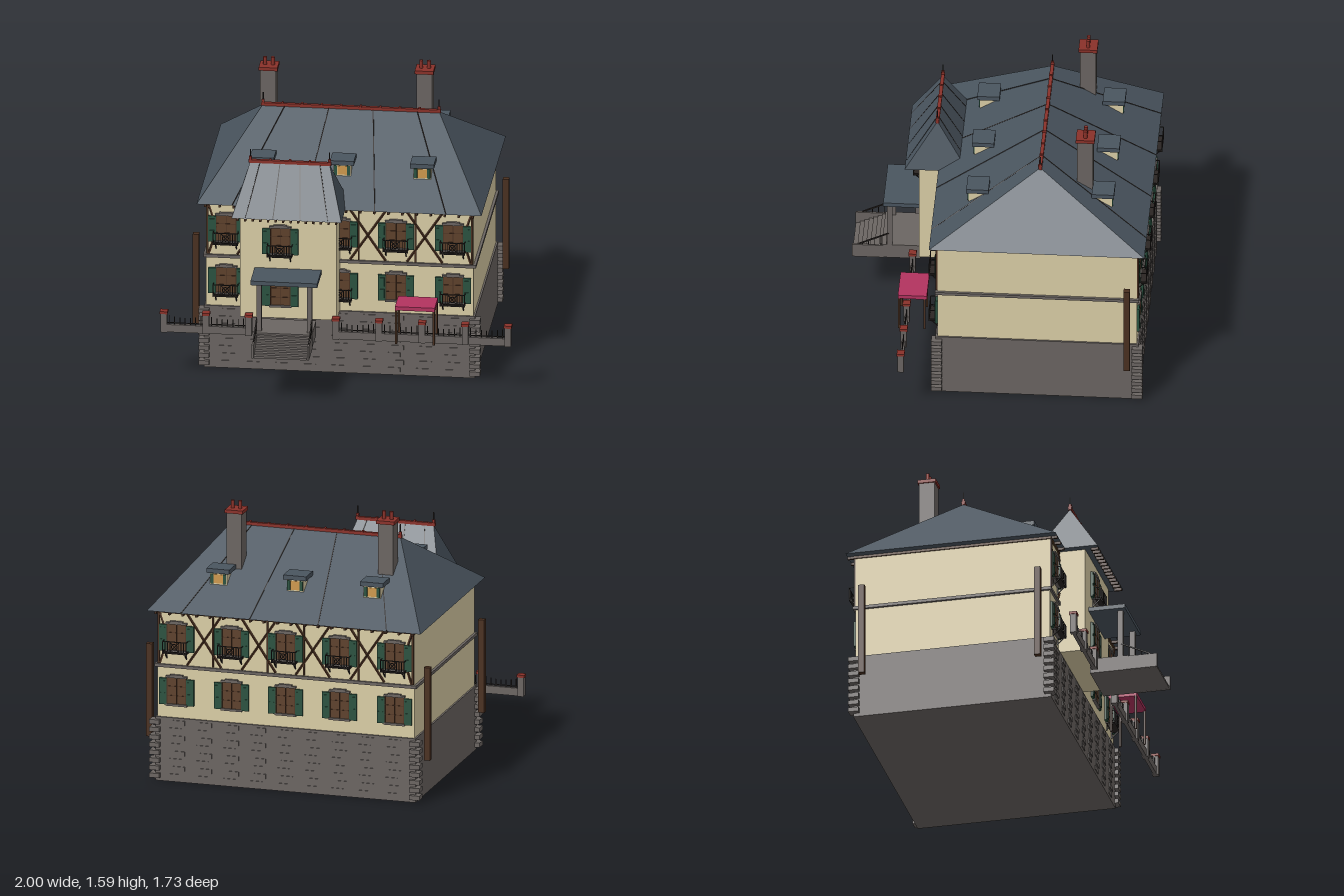
import * as THREE from 'three';

const palette = {
  slate: 0x4a555f, cream: 0xdbcea6, stone: 0x6b6562, timber: 0x4a3020, red: 0x8a3129,
  green: 0x2a5240, magenta: 0xb2335f, iron: 0x2a2523, amber: 0xd09a4e, windowWood: 0x5e412b,
};

export function createModel() {
  const model = new THREE.Group();
  model.name = 'house';
  const mats = {};
  for (const [name, color] of Object.entries(palette)) {
    mats[name] = new THREE.MeshStandardMaterial({ color });
    mats[name].name = name;
  }

  // ---- helpers ----
  const add = (parent, name, geo, mat) => {
    const m = new THREE.Mesh(geo, mats[mat]);
    m.name = name;
    parent.add(m);
    return m;
  };
  const group = (name, parent = model, x = 0, y = 0, z = 0) => {
    const g = new THREE.Group();
    g.name = name;
    g.position.set(x, y, z);
    parent.add(g);
    return g;
  };
  // box given by its min and max on each axis
  const box = (parent, name, mat, x0, x1, y0, y1, z0, z1) => {
    const m = add(parent, name, new THREE.BoxGeometry(x1 - x0, y1 - y0, z1 - z0), mat);
    m.position.set((x0 + x1) / 2, (y0 + y1) / 2, (z0 + z1) / 2);
    return m;
  };
  // square bar between two points, in the parent's own frame
  const zAxis = new THREE.Vector3(0, 0, 1);
  const bar = (parent, name, mat, a, b, t) => {
    const p = new THREE.Vector3(...a), q = new THREE.Vector3(...b);
    const m = add(parent, name, new THREE.BoxGeometry(t, t, p.distanceTo(q)), mat);
    m.position.copy(p).add(q).multiplyScalar(0.5);
    m.quaternion.setFromUnitVectors(zAxis, q.sub(p).normalize());
    return m;
  };

  // ---- hipped roofs with seams, ridge tiles and finials ----
  const hipRoof = (name, x, z, w, d, r, h) => {
    const g = group(name, model, x, 1.002, z);
    const A = [-w, 0, d], B = [w, 0, d], C = [w, 0, -d], D = [-w, 0, -d], E = [-r, h, 0], F = [r, h, 0];
    const tris = [A, B, F, A, F, E, B, C, F, C, D, E, C, E, F, D, A, E, A, D, C, A, C, B];
    const geo = new THREE.BufferGeometry();
    geo.setAttribute('position', new THREE.Float32BufferAttribute(tris.flat(), 3));
    geo.computeVertexNormals();
    add(g, 'roofSlopes', geo, 'slate');
    for (const s of [-1, 1]) {
      for (const k of [-0.75, -0.25, 0.25, 0.75])
        bar(g, 'roofSeam', 'iron', [k * w, 0.002, s * (d - 0.004)], [k * r, h, 0], 0.005);
      box(g, 'finialBase', 'red', s * r - 0.008, s * r + 0.008, h, h + 0.03, -0.008, 0.008);
      bar(g, 'finial', 'iron', [s * r, h, 0], [s * r, h + 0.073, 0], 0.006);
    }
    box(g, 'ridgeTiles', 'red', -r - 0.01, r + 0.01, h - 0.006, h + 0.012, -0.01, 0.01);
    const n = Math.round(r * 18);
    for (let i = 0; i <= n; i++) {
      const px = -r + (2 * r * i) / n;
      box(g, 'ridgeKnob', 'red', px - 0.006, px + 0.006, h + 0.01, h + 0.017, -0.012, 0.012);
    }
  };
  hipRoof('mainRoof', 0, -0.25, 0.81, 0.61, 0.5, 0.38);
  hipRoof('bayRoof', -0.277, 0.37, 0.312, 0.18, 0.225, 0.28);

  // ---- walls ----
  box(model, 'basement', 'stone', -0.77, 0.77, 0, 0.375, -0.825, 0.325);
  box(model, 'mainWalls', 'cream', -0.76, 0.76, 0.375, 1.0, -0.815, 0.315);
  box(model, 'bayWalls', 'cream', -0.55, 0, 0.375, 1.0, 0.3, 0.47);
  box(model, 'stringCourse', 'stone', -0.775, 0.775, 0.668, 0.686, -0.827, 0.327);
  box(model, 'eaveBeam', 'windowWood', -0.768, 0.768, 0.987, 1.001, -0.823, 0.323);

  // corner quoins
  for (let i = 0; i < 8; i++) for (const sx of [-1, 1]) for (const sz of [-1, 1]) {
    const y = 0.02 + i * 0.045, m = box(model, 'quoin', 'stone', -0.03, 0.03, y, y + 0.026, -0.03, 0.03);
    m.position.x = sx * 0.77;
    m.position.z = -0.25 + sz * 0.568;
  }

  // ---- openings, drawn facing +z on a wall at z = 0 ----
  const windowUnit = (parent, x, y) => {
    const g = group('window', parent, x, y, 0);
    box(g, 'windowPane', 'windowWood', -0.058, 0.058, 0, 0.16, 0, 0.008);
    for (const px of [-0.056, 0, 0.056]) box(g, 'mullion', 'timber', px - 0.002, px + 0.002, 0, 0.16, 0, 0.012);
    for (const py of [0.05, 0.105]) box(g, 'glazingBar', 'timber', -0.056, 0.056, py - 0.0015, py + 0.0015, 0, 0.011);
    box(g, 'lintel', 'stone', -0.062, 0.062, 0.155, 0.166, 0, 0.016);
    box(g, 'lintelCrown', 'stone', -0.038, 0.038, 0.166, 0.174, 0, 0.016);
    box(g, 'sill', 'stone', -0.062, 0.062, -0.01, 0.002, 0, 0.018);
    for (const s of [-1, 1]) {
      box(g, 'shutter', 'green', s * 0.08 - 0.022, s * 0.08 + 0.022, -0.004, 0.15, 0, 0.013);
      for (let k = 0; k < 2; k++)
        box(g, 'shutterPanel', 'green', s * 0.08 - 0.014, s * 0.08 + 0.014, 0.01 + k * 0.07, 0.065 + k * 0.07, 0, 0.017);
    }
  };
  const balcony = (parent, x, y) => {
    const g = group('balcony', parent, x, y, 0), W = 0.07, Z = 0.05;
    box(g, 'balconyFloor', 'iron', -W, W, -0.02, -0.015, 0, Z);
    for (const py of [0.052, -0.008]) {
      bar(g, 'frontRail', 'iron', [-W, py, Z], [W, py, Z], 0.005);
      for (const s of [-1, 1]) bar(g, 'sideRail', 'iron', [s * W, py, 0], [s * W, py, Z], 0.004);
    }
    for (const px of [-W, -0.055, -0.04, -0.026, 0.026, 0.04, 0.055, W])
      bar(g, 'baluster', 'iron', [px, -0.02, Z], [px, 0.052, Z], 0.004);
    add(g, 'rosette', new THREE.TorusGeometry(0.017, 0.003, 4, 12), 'iron').position.set(0, 0.022, Z);
    for (const s of [-1, 1]) {
      bar(g, 'rosetteCross', 'iron', [-0.026, 0.022 - s * 0.028, Z], [0.026, 0.022 + s * 0.028, Z], 0.004);
      bar(g, 'balconyBrace', 'iron', [s * 0.058, -0.018, Z - 0.006], [s * 0.058, -0.06, 0], 0.005);
      bar(g, 'balconyStay', 'iron', [s * 0.058, -0.018, 0.004], [s * 0.058, -0.06, 0.004], 0.005);
    }
  };

  // ---- front and back facades ----
  const columns = [-0.645, -0.32, 0, 0.32, 0.645];
  for (const front of [true, false]) {
    const g = group(front ? 'frontFacade' : 'backFacade', model, 0, 0, front ? 0.315 : -0.815);
    if (!front) g.rotation.y = Math.PI;
    columns.forEach((x, i) => {
      if (front && i === 1) return;
      windowUnit(g, x, 0.455);
      windowUnit(g, x, 0.77);
      balcony(g, x, 0.78);
      if (front && i !== 3) balcony(g, x, 0.465);
    });
    // timber framing
    const z = 0.004;
    for (const s of [-1, 1]) {
      bar(g, 'cornerPost', 'timber', [s * 0.752, 0.69, z], [s * 0.752, 0.99, z], 0.012);
      bar(g, 'cornerBrace', 'timber', [s * 0.745, 0.985, z], [s * 0.70, 0.85, z], 0.01);
      bar(g, 'cornerBrace', 'timber', [s * 0.745, 0.69, z], [s * 0.70, 0.83, z], 0.01);
    }
    for (const x of [-0.483, -0.16, 0.16, 0.483]) {
      for (const s of [-1, 1])
        bar(g, 'crossBrace', 'timber', [x - s * 0.1, 0.69, z], [x + s * 0.1, 0.99, z], 0.01);
      const px = x - Math.sign(x) * 0.052;
      bar(g, 'post', 'timber', [px, 0.69, z], [px, 0.99, z], 0.01);
    }
    // shallow basement blocks and rafter ends
    for (let c = 0; c < 9; c++) for (let r = 0; r < 8; r++) {
      const x = -0.64 + c * 0.16 + (r % 2 ? 0.01 : -0.01), y = 0.02 + r * 0.045;
      box(g, 'basementBlock', 'stone', x - 0.035, x + 0.035, y, y + 0.026, 0, 0.015);
    }
    for (let i = 0; i < 20; i++) {
      const x = -0.76 + i * 0.08;
      box(g, 'rafterEnd', 'timber', x - 0.006, x + 0.006, 0.986, 1.001, 0.01, 0.044);
    }
  }
  const bay = group('bayFront', model, 0, 0, 0.47);
  windowUnit(bay, -0.32, 0.77);
  windowUnit(bay, -0.32, 0.455);
  balcony(bay, -0.32, 0.78);
  for (let i = 0; i < 14; i++) {
    const x = -0.555 + i * 0.043;
    box(bay, 'rafterEnd', 'timber', x - 0.006, x + 0.006, 0.986, 1.001, 0.035, 0.078);
  }

  // ---- dormers ----
  for (const side of [1, -1]) for (const x of [-0.46, -0.005, 0.45]) {
    const g = group('dormer', model, x, 0, -0.25);
    if (side < 0) g.rotation.y = Math.PI;
    box(g, 'dormerBody', 'cream', -0.05, 0.05, 1.12, 1.2, 0.28, 0.405);
    box(g, 'dormerRoof', 'slate', -0.068, 0.068, 1.198, 1.224, 0.292, 0.418);
    box(g, 'dormerPane', 'amber', -0.027, 0.027, 1.138, 1.19, 0.4, 0.409);
    for (const s of [-1, 1])
      box(g, 'dormerShutter', 'green', s * 0.037 - 0.009, s * 0.037 + 0.009, 1.136, 1.192, 0.4, 0.411);
  }

  // ---- chimneys ----
  for (const [x, z] of [[-0.49, -0.455], [0.392, -0.5]]) {
    const g = group('chimney', model, x, 0, z);
    box(g, 'chimneyStack', 'stone', -0.045, 0.045, 1.15, 1.525, -0.045, 0.045);
    box(g, 'chimneyCap', 'red', -0.053, 0.053, 1.523, 1.543, -0.053, 0.053);
    for (const s of [-1, 1]) {
      const pot = add(g, 'chimneyPot', new THREE.CylinderGeometry(0.011, 0.011, 0.048, 8), 'red');
      pot.position.set(s * 0.022, 1.565, 0);
    }
  }

  // ---- porch and steps ----
  const porch = group('porch', model, -0.277, 0, 0);
  box(porch, 'porchRoof', 'slate', -0.19, 0.19, 0.652, 0.677, 0.47, 0.68);
  box(porch, 'landing', 'stone', -0.16, 0.16, 0.28, 0.368, 0.47, 0.69);
  for (let i = 0; i < 7; i++)
    box(porch, 'step', 'stone', -0.15, 0.15, 0.28, 0.358 - i * 0.011, 0.68, 0.708 + i * 0.025);
  for (const s of [-1, 1]) {
    const x = s * 0.143, c = s * 0.157;
    box(porch, 'porchColumn', 'stone', x - 0.014, x + 0.014, 0.365, 0.655, 0.63, 0.66);
    box(porch, 'stepCheek', 'stone', c - 0.006, c + 0.006, 0.28, 0.362, 0.68, 0.859);
    bar(porch, 'handrail', 'iron', [c, 0.445, 0.65], [c, 0.365, 0.82], 0.007);
    for (let i = 0; i < 5; i++)
      bar(porch, 'handrailPost', 'iron', [c, 0.36, 0.66 + i * 0.035], [c, 0.44 - i * 0.0165, 0.66 + i * 0.035], 0.004);
  }

  // ---- garden fence ----
  const fence = group('fence', model, 0, 0, 0.507);
  for (const posts of [[-0.978, -0.738, -0.495], [0, 0.245, 0.49, 0.735, 0.978]]) {
    box(fence, 'fenceWall', 'stone', posts[0], posts[posts.length - 1], 0.28, 0.325, -0.01, 0.01);
    posts.forEach((x, i) => {
      box(fence, 'fencePost', 'stone', x - 0.018, x + 0.018, 0.28, 0.393, -0.018, 0.018);
      box(fence, 'fencePostCap', 'red', x - 0.022, x + 0.022, 0.392, 0.407, -0.022, 0.022);
      if (i === 0) return;
      const x0 = posts[i - 1], n = 8;
      bar(fence, 'fenceRail', 'iron', [x0, 0.334, 0], [x, 0.334, 0], 0.004);
      for (let k = 1; k < n; k++) {
        const px = x0 + ((x - x0) * k) / n, sag = 0.02 * Math.sin((Math.PI * k) / n);
        bar(fence, 'fenceBar', 'iron', [px, 0.32, 0], [px, 0.385 - sag, 0], 0.005);
      }
    });
  }

  // ---- garden awning ----
  const awning = group('awning');
  box(awning, 'awningTop', 'magenta', 0.34, 0.566, 0.484, 0.507, 0.388, 0.552);
  for (const x of [0.346, 0.56]) for (const z of [0.402, 0.545])
    box(awning, 'awningLeg', 'timber', x - 0.006, x + 0.006, 0.28, 0.486, z - 0.006, z + 0.006);

  // ---- tall timber posts beside the house ----
  for (const [x, z] of [[0.823, -0.762], [-0.823, -0.762], [-0.823, 0.26]]) {
    const g = group('tallPost', model, x, 0, z);
    box(g, 'postCore', 'timber', -0.013, 0.013, 0.24, 0.785, -0.013, 0.013);
    for (const s of [-1, 1]) {
      box(g, 'postStaveX', 'timber', s * 0.013 - 0.005, s * 0.013 + 0.005, 0.24, 0.785, -0.018, 0.018);
      box(g, 'postStaveZ', 'timber', -0.008, 0.008, 0.24, 0.785, s * 0.013 - 0.005, s * 0.013 + 0.005);
    }
  }
  return model;
}
